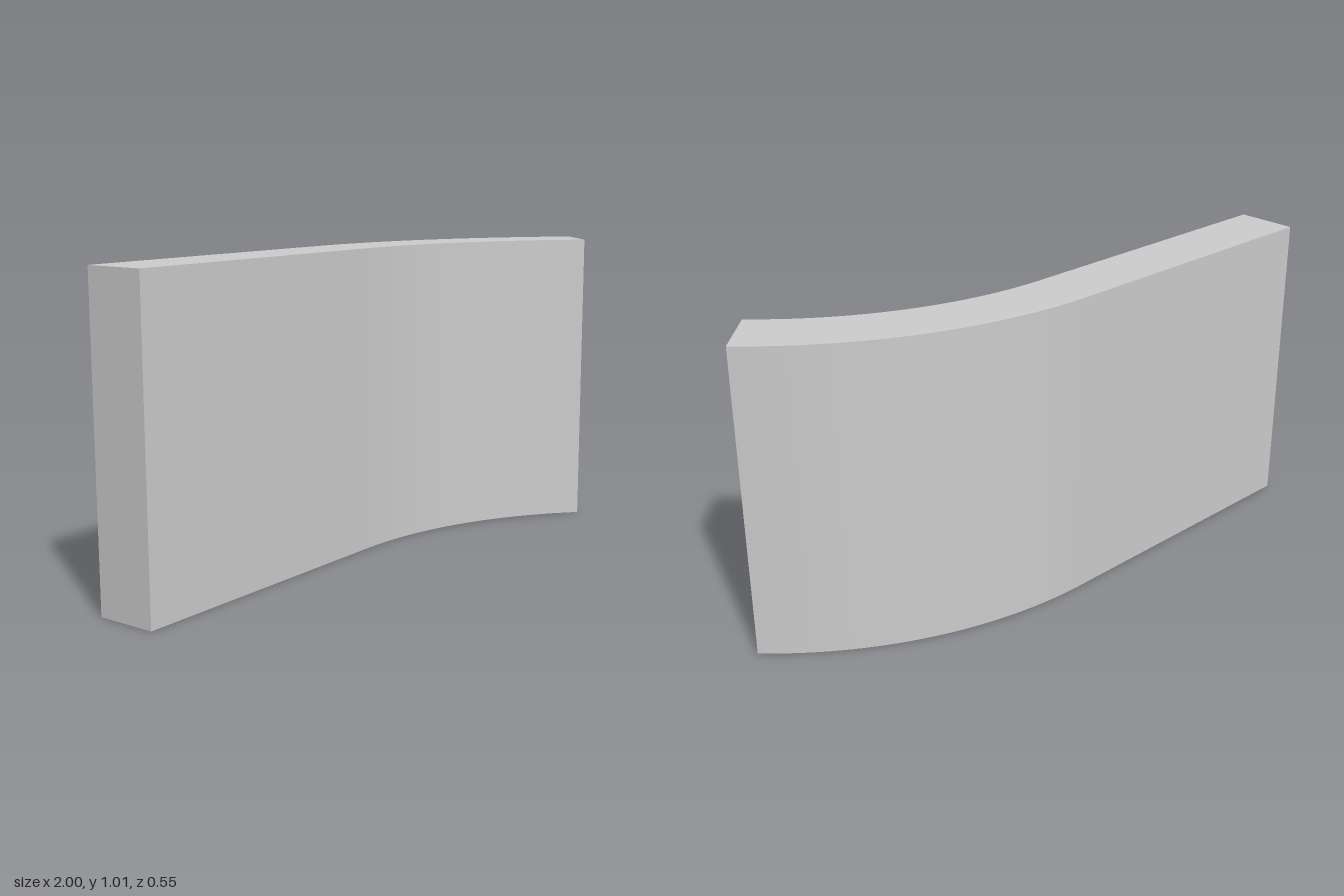
import * as THREE from 'three';
import { toCreasedNormals } from 'three/addons/utils/BufferGeometryUtils.js';

export function createModel() {
  const group = new THREE.Group();
  group.name = 'curvedWall';

  const thickness = 0.203;
  const length = 5 * thickness; // straight run, bend centreline and height all match
  const bend = Math.PI / 4;
  const midRadius = length / bend;
  const outer = midRadius + thickness / 2;
  const inner = midRadius - thickness / 2;

  // Plan outline: straight run followed by a 45 degree bend towards the front
  const depth = outer - inner * Math.cos(bend);
  const startX = -1;
  const bendX = startX + length;
  const backY = depth / 2; // shape y is -z
  const centreY = backY - outer;
  const plan = new THREE.Shape();
  plan.moveTo(startX, backY - thickness);
  plan.lineTo(startX, backY);
  plan.lineTo(bendX, backY);
  plan.absarc(bendX, centreY, outer, Math.PI / 2, Math.PI / 2 - bend, true);
  plan.absarc(bendX, centreY, inner, Math.PI / 2 - bend, Math.PI / 2, false);
  plan.closePath();

  // Raise the plan into a wall, smooth around the bend with sharp edges
  let geometry = new THREE.ExtrudeGeometry(plan, { depth: length, bevelEnabled: false, curveSegments: 32 });
  geometry.rotateX(-Math.PI / 2);
  geometry = toCreasedNormals(geometry, 0.5);

  const wall = new THREE.Mesh(geometry, new THREE.MeshStandardMaterial({ color: 0xcccccc }));
  wall.name = 'wall';
  group.add(wall);
  return group;
}
